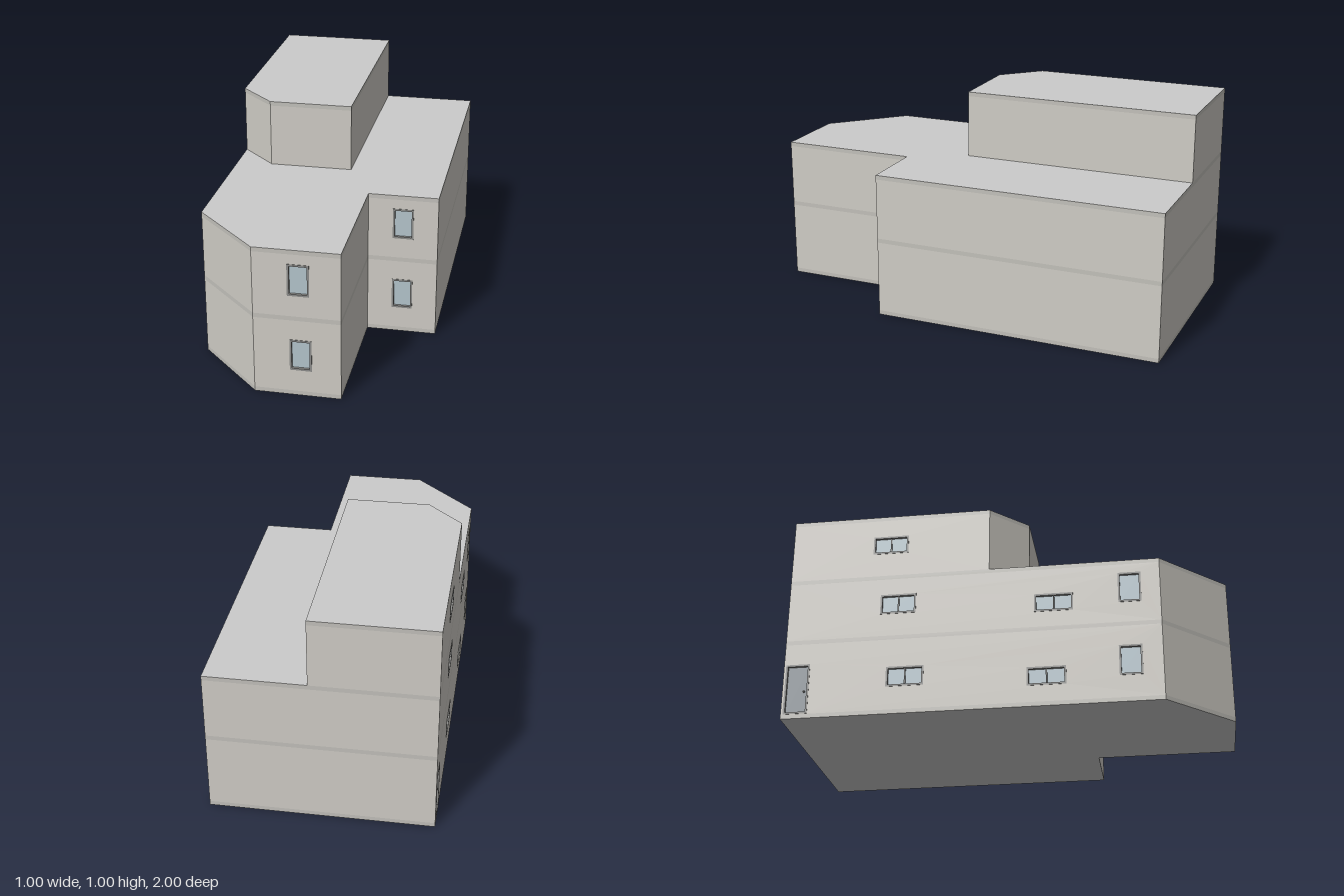
import * as THREE from 'three';

const mat = (color) => new THREE.MeshStandardMaterial({ color });
const wallMat = mat(0xcfccc5), bandMat = mat(0xc2c0ba), roofMat = mat(0xcccccc);
const frameMat = mat(0x8c8c8a), glassMat = mat(0xb4c4cc), doorMat = mat(0x8a9298);

// Footprints as [x, z], walked so that every wall faces outwards
const LOWER = [[-0.5, 0.7], [-0.2, 1], [0.18, 1], [0.18, 0.36], [0.5, 0.36], [0.5, -1], [-0.5, -1]];
const UPPER = [[-0.5, -0.07], [-0.335, 0.095], [0.05, 0.095], [0.05, -1], [-0.5, -1]];

// Openings per wall index: u0, u1 along the wall, y0, y1, kind
const LOWER_OPENINGS = {
  1: [[0.15, 0.245, 0.476, 0.622], [0.157, 0.253, 0.122, 0.268]],
  3: [[0.113, 0.208, 0.476, 0.622], [0.113, 0.208, 0.122, 0.268]],
  6: [
    [0.01, 0.12, 0.022, 0.26, 'door'],
    [0.47, 0.64, 0.13, 0.225, 'wide'], [0.43, 0.595, 0.49, 0.587, 'wide'],
    [1.1, 1.275, 0.098, 0.185, 'wide'], [1.135, 1.31, 0.455, 0.542, 'wide'],
    [1.507, 1.61, 0.124, 0.267], [1.512, 1.615, 0.478, 0.624],
  ],
};
const UPPER_OPENINGS = { 4: [[0.385, 0.55, 0.803, 0.893, 'wide']] };

function mesh(name, geometry, material) {
  const m = new THREE.Mesh(geometry, material);
  m.name = name;
  return m;
}

function rect(C, u0, u1, y0, y1) {
  return new C([[u0, y0], [u1, y0], [u1, y1], [u0, y1]].map(([u, y]) => new THREE.Vector2(u, y)));
}

function box(name, u0, u1, y0, y1, z0, z1, material) {
  const g = new THREE.BoxGeometry(u1 - u0, y1 - y0, z1 - z0);
  g.translate((u0 + u1) / 2, (y0 + y1) / 2, (z0 + z1) / 2);
  return mesh(name, g, material);
}

// Raised frame with a recessed pane or door leaf
function opening([u0, u1, y0, y1, kind]) {
  const g = new THREE.Group();
  const t = 0.009, door = kind === 'door';
  g.name = door ? 'door' : 'window';
  const ring = rect(THREE.Shape, u0, u1, y0, y1);
  ring.holes.push(rect(THREE.Path, u0 + t, u1 - t, y0 + t, y1 - t));
  const frame = new THREE.ExtrudeGeometry(ring, { depth: 0.016, bevelEnabled: false });
  frame.translate(0, 0, -0.014);
  g.add(mesh('frame', frame, frameMat));
  g.add(box(door ? 'doorLeaf' : 'pane', u0 + t, u1 - t, y0 + t, y1 - t, -0.014, -0.01, door ? doorMat : glassMat));
  if (kind === 'wide') {
    const c = (u0 + u1) / 2;
    g.add(box('mullion', c - 0.003, c + 0.003, y0 + t, y1 - t, -0.01, -0.004, frameMat));
  }
  if (door) {
    const knob = new THREE.SphereGeometry(0.005, 10, 8);
    knob.translate(u1 - 0.022, 0.13, -0.006);
    g.add(mesh('doorKnob', knob, frameMat));
  }
  return g;
}

// Walls in horizontal strips, alternating floor bands and plain wall
function walls(name, footprint, levels, openings) {
  const group = new THREE.Group();
  group.name = name;
  footprint.forEach(([x, z], i) => {
    const [x2, z2] = footprint[(i + 1) % footprint.length];
    const length = Math.hypot(x2 - x, z2 - z);
    const wall = new THREE.Group();
    wall.name = 'wall';
    wall.position.set(x, 0, z);
    wall.rotation.y = Math.atan2(z - z2, x2 - x);
    const list = openings[i] || [];
    for (const [y0, y1, band] of levels) {
      const shape = rect(THREE.Shape, 0, length, y0, y1);
      for (const o of list) {
        if (o[2] > y0 && o[3] < y1) shape.holes.push(rect(THREE.Path, o[0], o[1], o[2], o[3]));
      }
      wall.add(mesh(band ? 'floorBand' : 'wallPanel', new THREE.ShapeGeometry(shape), band ? bandMat : wallMat));
    }
    list.forEach((o) => wall.add(opening(o)));
    group.add(wall);
  });
  return group;
}

// Flat slab surface facing up (roof) or down (floor)
function slab(name, footprint, y, up) {
  const s = up ? -1 : 1;
  const g = new THREE.ShapeGeometry(new THREE.Shape(footprint.map(([x, z]) => new THREE.Vector2(x, s * z))));
  g.rotateX(s * Math.PI / 2);
  g.translate(0, y, 0);
  return mesh(name, g, roofMat);
}

export function createModel() {
  const model = new THREE.Group();
  model.name = 'building';
  model.add(walls('lowerStoreys', LOWER, [
    [0, 0.02, true], [0.02, 0.36], [0.36, 0.38, true], [0.38, 0.667], [0.667, 0.687, true],
  ], LOWER_OPENINGS));
  model.add(walls('upperStorey', UPPER, [[0.687, 0.98], [0.98, 1, true]], UPPER_OPENINGS));
  model.add(slab('ground', LOWER, 0, false));
  model.add(slab('lowerRoof', LOWER, 0.687, true));
  model.add(slab('upperRoof', UPPER, 1, true));
  return model;
}
